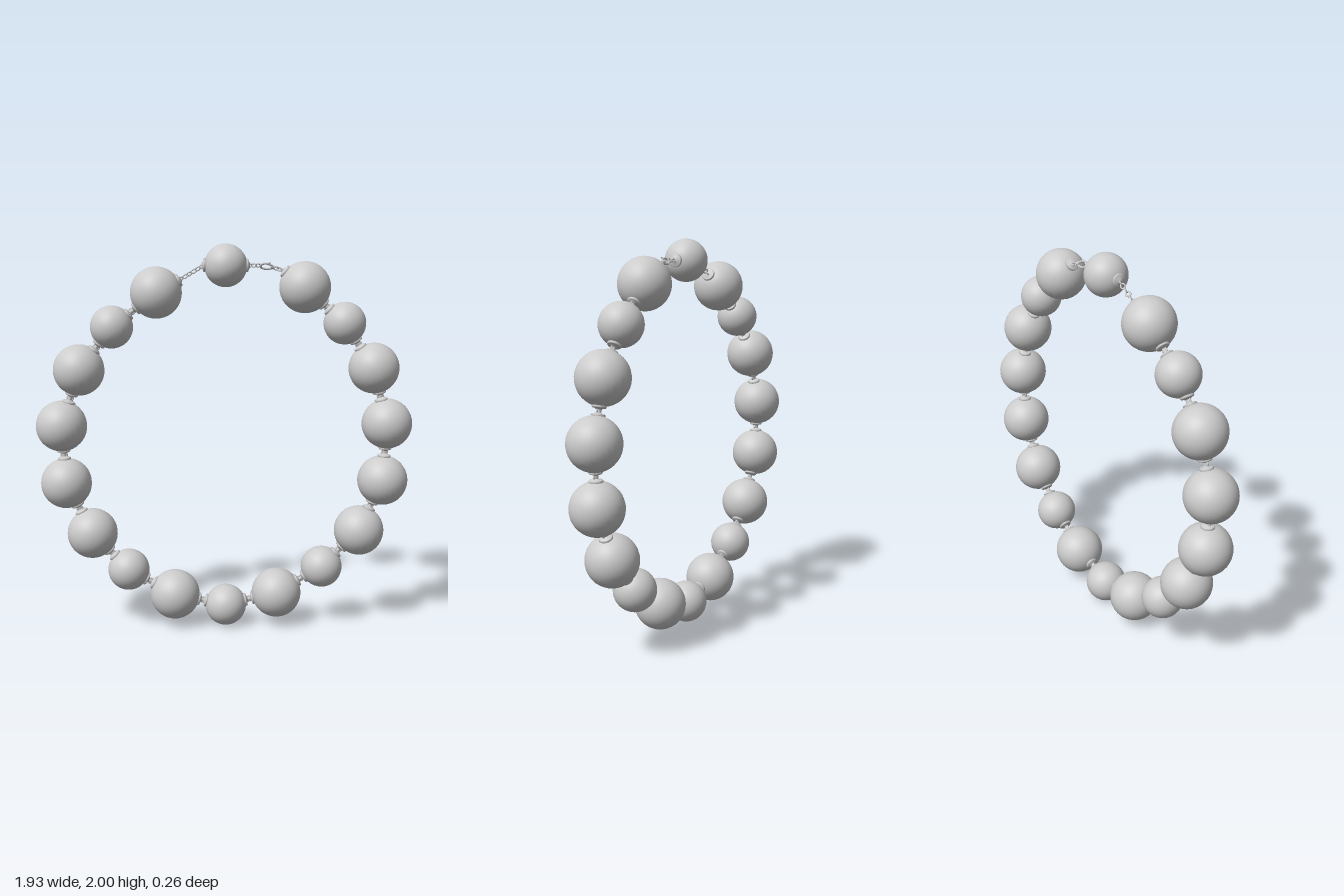
import * as THREE from 'three';

const V = (x, y, z = 0) => new THREE.Vector3(x, y, z);
const X = V(1, 0);
const Y = V(0, 1);
const BIG = 0.13, SMALL = 0.108;

// beads in order, clockwise from the top: x, y, radius
const BEADS = [
  [0, 1.892, SMALL], [0.4, 1.783, BIG], [0.605, 1.602, SMALL],
  [0.76, 1.372, BIG], [0.835, 1.083, BIG], [0.82, 0.783, BIG],
  [0.702, 0.513, BIG], [0.507, 0.316, SMALL], [0.268, 0.176, BIG],
  [0, 0.112, SMALL], [-0.268, 0.174, BIG], [-0.51, 0.314, SMALL],
  [-0.695, 0.514, BIG], [-0.823, 0.784, BIG], [-0.84, 1.083, BIG],
  [-0.745, 1.37, BIG], [-0.575, 1.587, SMALL], [-0.35, 1.758, BIG],
];

export function createModel() {
  const model = new THREE.Group();
  const metal = new THREE.MeshStandardMaterial({ color: 0xcccccc });

  const add = (name, geometry, position, parent = model) => {
    const mesh = new THREE.Mesh(geometry, metal);
    mesh.name = name;
    mesh.position.copy(position);
    parent.add(mesh);
    return mesh;
  };

  // stepped end cap, its base at y = 0
  const capGeometry = new THREE.LatheGeometry([
    [0, -0.012], [0.034, -0.012], [0.034, 0.002], [0.03, 0.006],
    [0.018, 0.007], [0.015, 0.012], [0, 0.014],
  ].map(([r, y]) => new THREE.Vector2(r, y)), 20);

  const addCap = (center, radius, direction) => {
    const position = center.clone().addScaledVector(direction, radius);
    const cap = add('beadCap', capGeometry, position);
    cap.quaternion.setFromUnitVectors(Y, direction);
    return position;
  };

  // oval links from a to b, each turned a quarter against the last
  const linkGeometry = new THREE.TorusGeometry(0.011, 0.0035, 8, 16);
  const addChain = (a, b, count) => {
    const group = new THREE.Group();
    group.name = 'chain';
    const direction = b.clone().sub(a).normalize();
    const step = a.distanceTo(b) / count;
    const stretch = (step + 0.011) / 0.029;
    for (let i = 0; i < count; i++) {
      const link = add('chainLink', linkGeometry, a.clone().lerp(b, (i + 0.5) / count), group);
      link.scale.set(stretch, 1, 1);
      link.quaternion.setFromUnitVectors(X, direction);
      link.rotateX(Math.PI / 4 + (i % 2) * Math.PI / 2);
    }
    model.add(group);
  };

  // beads, with their poles on the string
  const centers = BEADS.map(([x, y]) => V(x, y));
  const n = BEADS.length;
  const beadGeometry = new THREE.SphereGeometry(1, 32, 20);
  BEADS.forEach(([, , radius], i) => {
    const bead = add('bead', beadGeometry, centers[i]);
    bead.scale.setScalar(radius);
    const along = centers[(i + 1) % n].clone().sub(centers[(i + n - 1) % n]).normalize();
    bead.quaternion.setFromUnitVectors(Y, along);
  });

  // short joints between neighbouring beads
  for (let i = 1; i < n - 1; i++) {
    const direction = centers[i + 1].clone().sub(centers[i]).normalize();
    const a = addCap(centers[i], BEADS[i][2], direction);
    const b = addCap(centers[i + 1], BEADS[i + 1][2], direction.clone().negate());
    const pin = add('pin', new THREE.CylinderGeometry(0.012, 0.012, a.distanceTo(b), 12), a.clone().lerp(b, 0.5));
    pin.quaternion.setFromUnitVectors(Y, direction);
    const ring = add('jointRing', new THREE.TorusGeometry(0.014, 0.005, 8, 20), pin.position);
    ring.quaternion.setFromUnitVectors(X, direction);
  }

  // caps facing the two open gaps beside the top bead
  const topRight = addCap(centers[0], SMALL, V(1, 0));
  const topLeft = addCap(centers[0], SMALL, V(-1, 0.02).normalize());
  const rightEnd = addCap(centers[1], BIG, V(0.105, -0.082).normalize().negate());
  const leftEnd = addCap(centers[n - 1], BIG, V(0.125, 0.067).normalize());

  // plain chain on one side, clasp chain on the other
  addChain(leftEnd, topLeft, 6);
  addChain(topRight, V(0.172, 1.892), 3);
  addChain(V(0.242, 1.881), rightEnd, 3);

  // clasp: drop-shaped hook, lever and swivel collar
  const clasp = new THREE.Group();
  clasp.name = 'clasp';
  const hook = new THREE.CatmullRomCurve3([
    V(0.034, 0), V(0.014, 0.013), V(-0.012, 0.017), V(-0.03, 0.008),
    V(-0.03, -0.008), V(-0.012, -0.015), V(0.014, -0.011),
  ], true);
  add('claspHook', new THREE.TubeGeometry(hook, 40, 0.0055, 8, true), V(0, 0), clasp);
  const collar = add('claspCollar', new THREE.CylinderGeometry(0.008, 0.01, 0.018, 12), V(0.028, 0), clasp);
  collar.rotation.z = -Math.PI / 2;
  const lever = add('claspLever', new THREE.CapsuleGeometry(0.004, 0.016, 4, 8), V(0.004, 0.02), clasp);
  lever.rotation.z = -0.9;
  clasp.position.set(0.207, 1.886, 0);
  clasp.rotation.set(0.6, 0, -0.16);
  model.add(clasp);

  return model;
}
